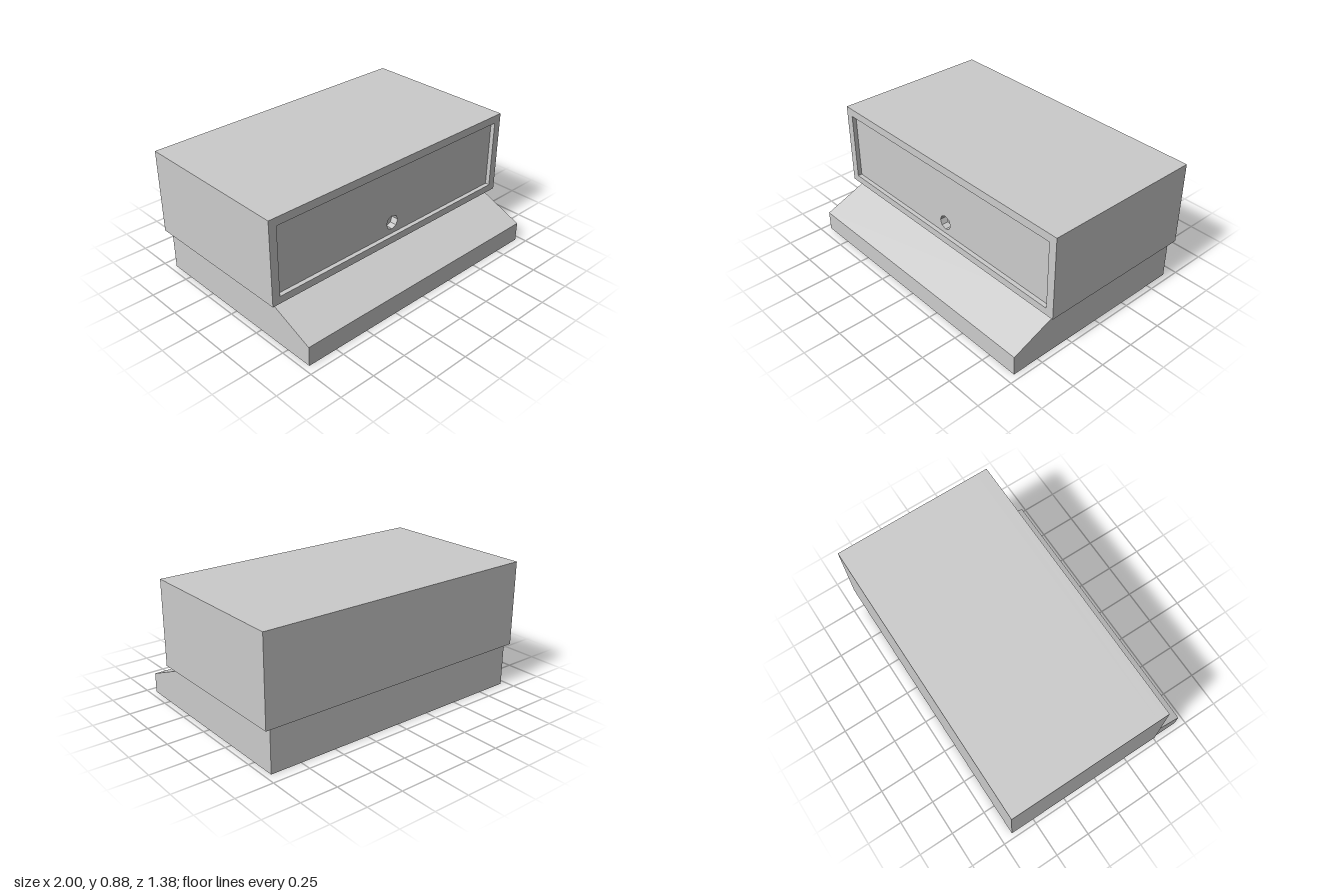
import * as THREE from 'three';

const material = new THREE.MeshStandardMaterial({ color: 0xcccccc, flatShading: true });

function rectangle(Type, x0, y0, x1, y1) {
  const r = new Type();
  r.moveTo(x0, y0);
  r.lineTo(x1, y0);
  r.lineTo(x1, y1);
  r.lineTo(x0, y1);
  r.closePath();
  return r;
}

function slab(name, shape, depth) {
  const mesh = new THREE.Mesh(
    new THREE.ExtrudeGeometry(shape, { depth, bevelEnabled: false, curveSegments: 4 }), material);
  mesh.name = name;
  return mesh;
}

export function createModel() {
  const model = new THREE.Group();
  model.name = 'cabinetOnSlopedBase';

  // Upper housing: back block, panel with a round hole, and a raised front frame
  const housing = new THREE.Group();
  housing.name = 'housing';
  const bottom = 0.293, top = 0.875, back = -0.69, front = 0.43;
  const frameDepth = 0.03, holeDepth = 0.05;
  const outline = () => rectangle(THREE.Shape, -1, bottom, 1, top);

  const block = slab('housingBlock', outline(), front - frameDepth - holeDepth - back);
  block.position.z = back;

  const panelShape = outline();
  const hole = new THREE.Path();
  for (let i = 0; i < 8; i++) {
    const a = (i / 8) * Math.PI * 2;
    const x = 0.05 * Math.cos(a), y = 0.425 + 0.05 * Math.sin(a);
    if (i === 0) hole.moveTo(x, y); else hole.lineTo(x, y);
  }
  hole.closePath();
  panelShape.holes.push(hole);
  const panel = slab('frontPanel', panelShape, holeDepth);
  panel.position.z = front - frameDepth - holeDepth;

  const frameShape = outline();
  frameShape.holes.push(rectangle(THREE.Path, -0.945, 0.343, 0.945, 0.82));
  const frame = slab('frontFrame', frameShape, frameDepth);
  frame.position.z = front - frameDepth;
  housing.add(block, panel, frame);

  // Base: sloped body standing on a rim that leaves a shallow recess underneath
  const base = new THREE.Group();
  base.name = 'base';
  const half = 0.96, rimHeight = 0.035;

  // Side profile drawn with -z across and y up, then swept along x
  const profile = new THREE.Shape([
    [-0.69, rimHeight], [0.67, rimHeight], [0.67, 0.283], [-0.33, 0.283], [-0.69, 0.135],
  ].map(([a, b]) => new THREE.Vector2(a, b)));
  const body = slab('baseBody', profile, half * 2);
  body.rotation.y = Math.PI / 2;
  body.position.x = -half;

  // Rim drawn with -z up the page, then laid flat
  const rimShape = rectangle(THREE.Shape, -half, -0.69, half, 0.67);
  rimShape.holes.push(rectangle(THREE.Path, -0.9, -0.6, 0.9, 0.485));
  const rim = slab('baseRim', rimShape, rimHeight);
  rim.rotation.x = -Math.PI / 2;
  base.add(body, rim);

  model.add(housing, base);
  return model;
}
